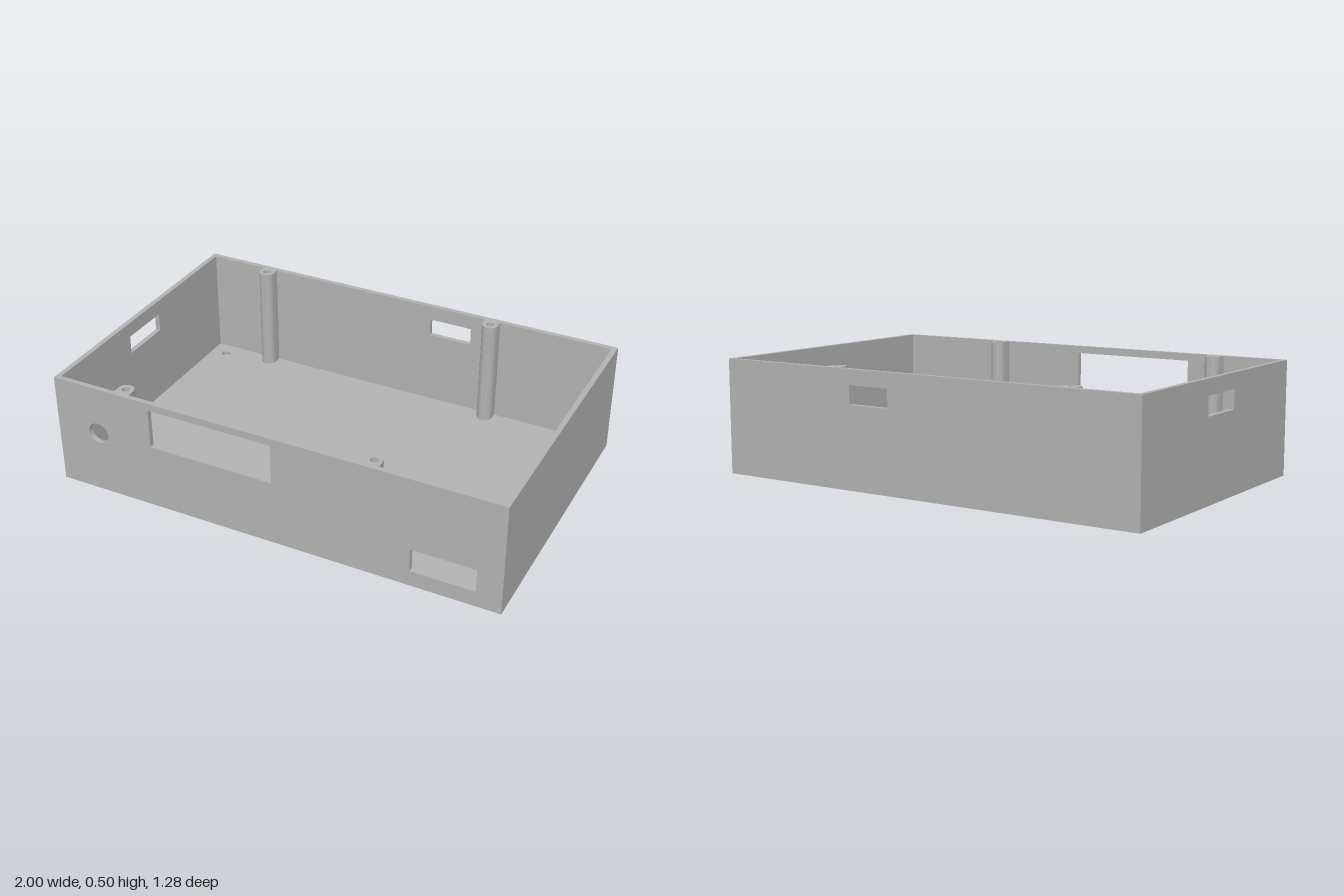
import * as THREE from 'three';
import { toCreasedNormals } from 'three/addons/utils/BufferGeometryUtils.js';

const W = 1, D = 0.64, H = 0.5, T = 0.022; // half width, half depth, height, wall thickness

function rect(target, x0, y0, x1, y1) {
  target.moveTo(x0, y0).lineTo(x1, y0).lineTo(x1, y1).lineTo(x0, y1).closePath();
  return target;
}

function circle(x, y, r) {
  const path = new THREE.Path();
  path.absarc(x, y, r, 0, Math.PI * 2, true);
  return path;
}

const rectHole = (...corners) => rect(new THREE.Path(), ...corners);

// Extrude a shape and keep its round parts smooth
function extrude(shape, depth) {
  const geometry = new THREE.ExtrudeGeometry(shape, { depth, bevelEnabled: false, curveSegments: 24 });
  return toCreasedNormals(geometry, 0.6);
}

export function createModel() {
  const group = new THREE.Group();
  group.name = 'enclosure';
  const grey = new THREE.MeshStandardMaterial({ color: 0xb2b2b2 });
  grey.name = 'case grey';

  function add(name, geometry, x, y, z) {
    const mesh = new THREE.Mesh(geometry, grey);
    mesh.name = name;
    mesh.position.set(x, y, z);
    group.add(mesh);
    return mesh;
  }

  function wall(halfLength, holes) {
    const shape = rect(new THREE.Shape(), -halfLength, T, halfLength, H);
    shape.holes.push(...holes);
    return extrude(shape, T);
  }

  // Floor with four mounting holes
  const floor = rect(new THREE.Shape(), -W, -D, W, D);
  for (const x of [-0.903, 0.903]) {
    for (const y of [-0.544, 0.544]) floor.holes.push(circle(x, y, 0.021));
  }
  add('floor', extrude(floor, T).rotateX(-Math.PI / 2), 0, 0, 0);

  // Front wall: round hole, display opening and socket opening
  add('frontWall', wall(W, [
    circle(-0.8, 0.283, 0.047),
    rectHole(-0.545, 0.291, 0.016, 0.468),
    rectHole(0.618, 0.07, 0.893, 0.175),
  ]), 0, 0, D - T);

  // Back wall with a small slot
  add('backWall', wall(W, [rectHole(0.14, 0.354, 0.336, 0.434)]), 0, 0, -D);

  // Side walls, the slot is in the -x one only
  const side = (holes) => wall(D - T, holes).rotateY(-Math.PI / 2);
  add('leftWall', side([]), W, 0, 0);
  add('rightWall', side([rectHole(-0.11, 0.352, 0.122, 0.434)]), -W + T, 0, 0);

  // Screw posts: rounded towards the inside, flat against the wall, bored
  const r = 0.035, postZ = 0.585;
  const back = -(D - T - postZ);
  const section = new THREE.Shape();
  section.moveTo(-r, back).lineTo(r, back).lineTo(r, 0);
  section.absarc(0, 0, r, 0, Math.PI, false);
  section.closePath();
  section.holes.push(circle(0, 0, 0.017));
  const post = extrude(section, H - T).rotateX(-Math.PI / 2);
  for (const x of [-0.682, 0.437]) {
    add('frontScrewPost', post, x, T, postZ);
    add('backScrewPost', post, x, T, -postZ).rotation.y = Math.PI;
  }

  return group;
}
